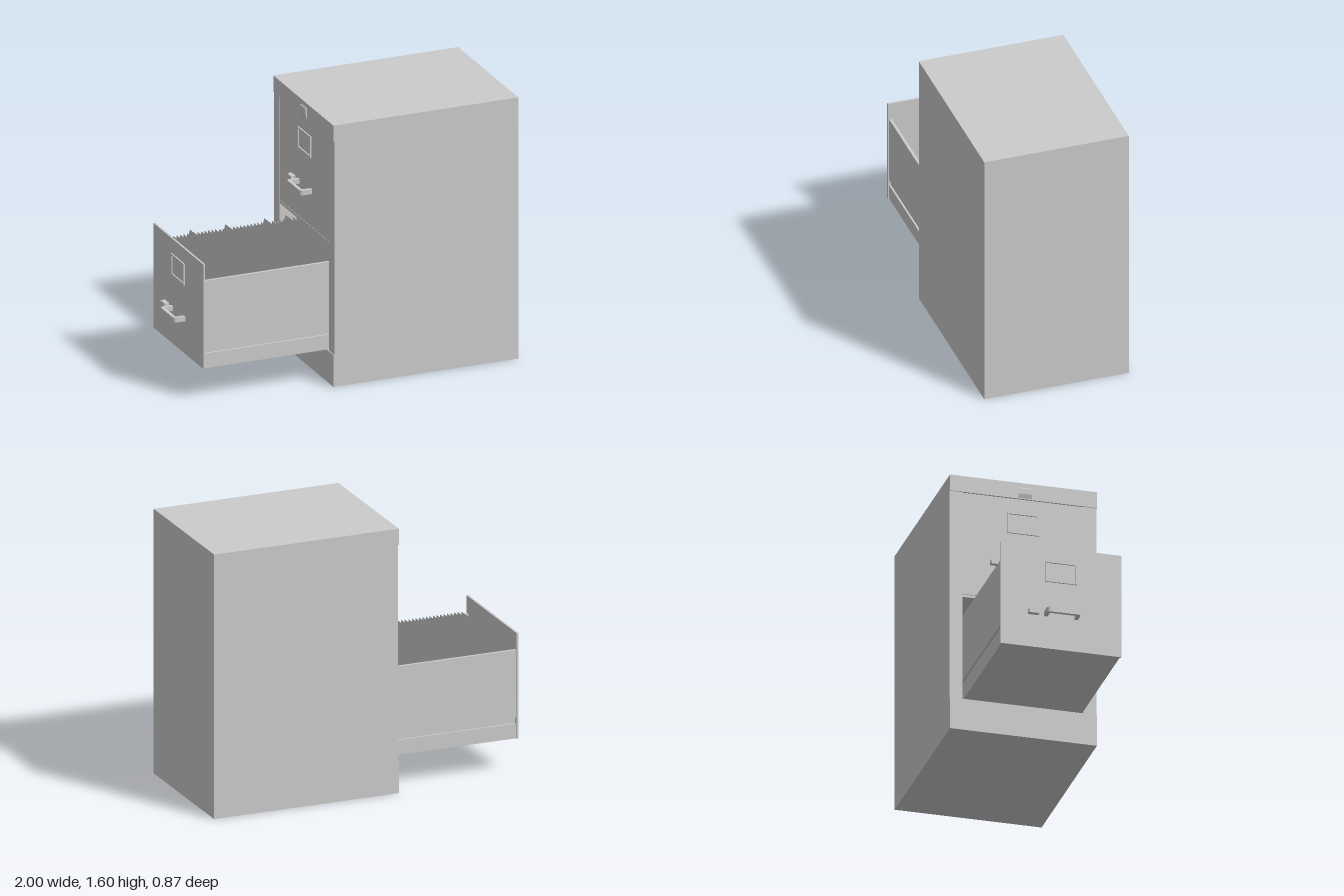
import * as THREE from 'three';

const grey = new THREE.MeshStandardMaterial({ color: 0xcccccc, flatShading: true });
const paper = new THREE.MeshStandardMaterial({ color: 0xcccccc, side: THREE.DoubleSide });

function add(parent, name, geometry, material = grey) {
  const mesh = new THREE.Mesh(geometry, material);
  mesh.name = name;
  parent.add(mesh);
  return mesh;
}

// box given by its lower and upper corners
function box(parent, name, [x0, y0, z0], [x1, y1, z1]) {
  const mesh = add(parent, name, new THREE.BoxGeometry(x1 - x0, y1 - y0, z1 - z0));
  mesh.position.set((x0 + x1) / 2, (y0 + y1) / 2, (z0 + z1) / 2);
  return mesh;
}

// U-shaped pull with rounded corners, lying flat and reaching to -x
function handleGeometry() {
  const s = new THREE.Shape();
  s.moveTo(0, -0.1);
  s.lineTo(-0.05, -0.1);
  s.quadraticCurveTo(-0.073, -0.1, -0.073, -0.077);
  s.lineTo(-0.073, 0.077);
  s.quadraticCurveTo(-0.073, 0.1, -0.05, 0.1);
  s.lineTo(0, 0.1);
  s.lineTo(0, 0.08);
  s.lineTo(-0.045, 0.08);
  s.quadraticCurveTo(-0.053, 0.08, -0.053, 0.072);
  s.lineTo(-0.053, -0.072);
  s.quadraticCurveTo(-0.053, -0.08, -0.045, -0.08);
  s.lineTo(0, -0.08);
  s.closePath();
  const g = new THREE.ExtrudeGeometry(s, { depth: 0.03, bevelEnabled: false, curveSegments: 5 });
  return g.rotateX(Math.PI / 2);
}

// thin frame for a label card, facing -x
function labelFrameGeometry() {
  const rect = (path, w, h) => path.moveTo(-w, -h).lineTo(w, -h).lineTo(w, h).lineTo(-w, h).closePath();
  const s = new THREE.Shape();
  rect(s, 0.095, 0.065);
  const hole = new THREE.Path();
  rect(hole, 0.085, 0.055);
  s.holes.push(hole);
  const g = new THREE.ExtrudeGeometry(s, { depth: 0.008, bevelEnabled: false });
  return g.rotateY(-Math.PI / 2);
}

// drawer with its front face at x = 0 and its bottom at y = 0
function makeDrawer(name) {
  const d = new THREE.Group();
  d.name = name;
  box(d, 'drawerFront', [0, 0, -0.36], [0.012, 0.64, 0.36]);
  add(d, 'handle', handleGeometry()).position.y = 0.231;
  box(d, 'latch', [-0.028, 0.203, -0.195], [0, 0.23, -0.135]);
  add(d, 'labelFrame', labelFrameGeometry()).position.y = 0.485;

  // tray with a runner groove along each side
  const end = 1.04;
  box(d, 'trayFloor', [0.012, 0, -0.335], [end, 0.015, 0.335]);
  box(d, 'trayBack', [end - 0.015, 0.015, -0.335], [end, 0.535, 0.335]);
  for (const side of [-1, 1]) {
    const strip = (part, y0, y1, inner, outer) => {
      const z = [inner * side, outer * side].sort((a, b) => a - b);
      box(d, part, [0.012, y0, z[0]], [end, y1, z[1]]);
    };
    strip('traySideLower', 0, 0.09, 0.335, 0.352);
    strip('runnerGroove', 0.09, 0.125, 0.335, 0.341);
    strip('traySideUpper', 0.125, 0.535, 0.335, 0.352);
  }
  return d;
}

// upright sheet across the drawer; an optional tab sits on its top edge
function folderGeometry(tabZ) {
  const w = 0.325, top = 0.56, s = new THREE.Shape();
  s.moveTo(-w, 0.015);
  s.lineTo(w, 0.015);
  s.lineTo(w, top);
  if (tabZ !== undefined) {
    s.lineTo(tabZ + 0.1, top);
    s.lineTo(tabZ + 0.08, top + 0.04);
    s.lineTo(tabZ - 0.08, top + 0.04);
    s.lineTo(tabZ - 0.1, top);
  }
  s.lineTo(-w, top);
  s.closePath();
  return new THREE.ShapeGeometry(s).rotateY(-Math.PI / 2);
}

export function createModel() {
  const model = new THREE.Group();
  model.name = 'filingCabinet';
  const Z = 0.437, open = 0.36;

  // hollow case
  const cabinet = new THREE.Group();
  cabinet.name = 'cabinet';
  model.add(cabinet);
  box(cabinet, 'base', [-0.15, 0, -Z], [1, 0.195, Z]);
  box(cabinet, 'top', [-0.15, 1.5, -Z], [1, 1.6, Z]);
  box(cabinet, 'back', [0.97, 0.195, -open], [1, 1.5, open]);
  box(cabinet, 'leftSide', [-0.145, 0.195, open], [1, 1.5, Z]);
  box(cabinet, 'rightSide', [-0.145, 0.195, -Z], [1, 1.5, -open]);
  box(cabinet, 'crossRail', [-0.14, 0.842, -open], [-0.1, 0.858, open]);

  // small tapered pull plate on the top band
  const plate = new THREE.Shape([[-0.15, 1.505], [-0.15, 1.572], [-0.157, 1.565], [-0.157, 1.53]]
    .map(([x, y]) => new THREE.Vector2(x, y)));
  add(cabinet, 'topPlate', new THREE.ExtrudeGeometry(plate, { depth: 0.08, bevelEnabled: false }))
    .position.z = -0.03;

  // drawers
  const upper = makeDrawer('upperDrawer');
  upper.position.set(-0.14, 0.86, 0);
  const lower = makeDrawer('lowerDrawer');
  lower.position.set(-0.927, 0.2, 0);
  model.add(upper, lower);

  // folders in the open drawer, every few with a staggered tab
  const tabs = { 6: -0.2, 11: -0.05, 16: -0.2, 22: -0.05, 27: -0.2, 33: -0.2 };
  const folders = new THREE.Group();
  folders.name = 'folders';
  lower.add(folders);
  for (let i = 0; i < 44; i++) {
    add(folders, 'folder', folderGeometry(tabs[i]), paper).position.x = 0.06 + i * 0.022;
  }
  return model;
}
